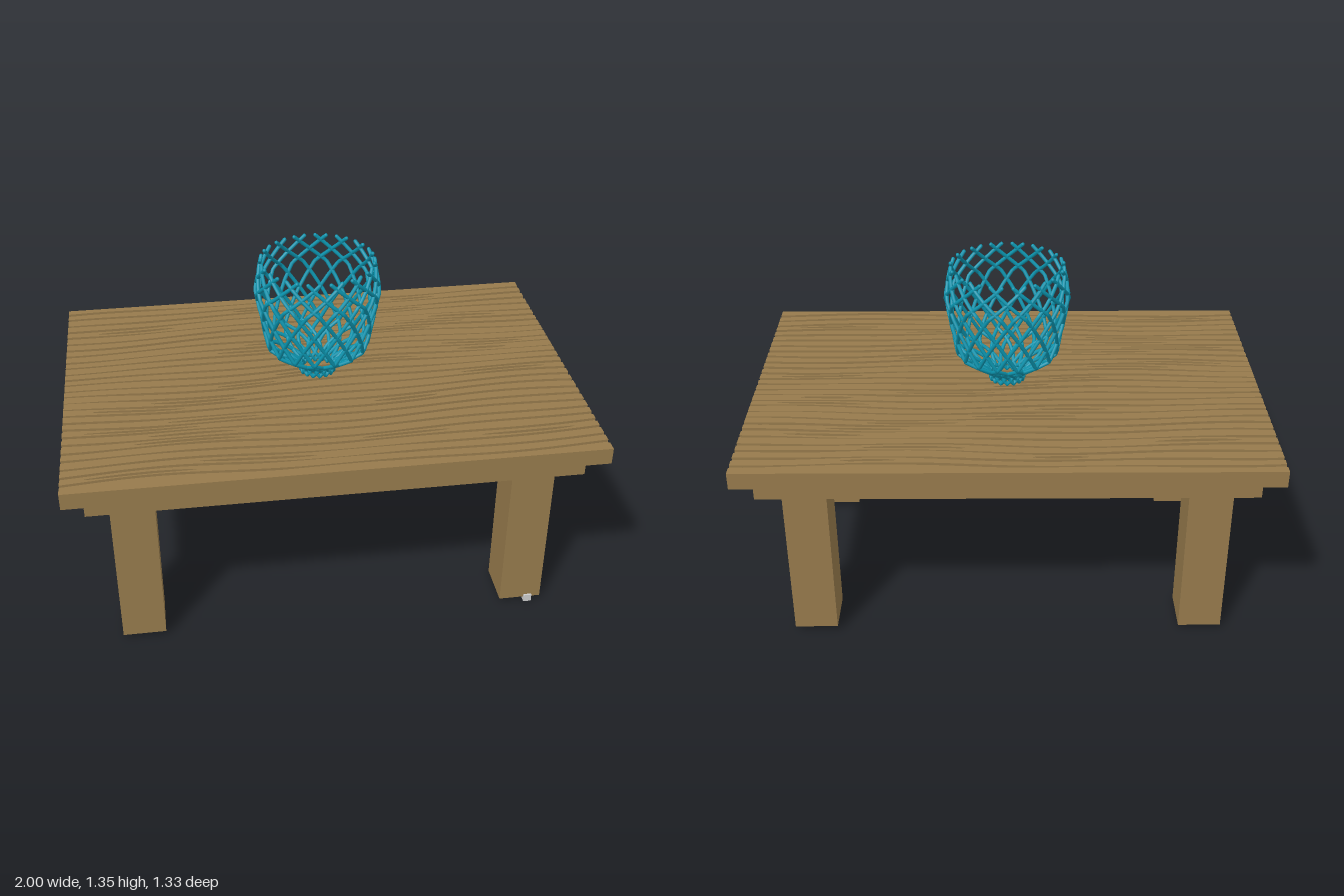
import * as THREE from 'three';
import { mergeGeometries } from 'three/addons/utils/BufferGeometryUtils.js';

const wood = new THREE.MeshStandardMaterial({ color: 0x967a4c });
const teal = new THREE.MeshStandardMaterial({ color: 0x0b93ad });
const grey = new THREE.MeshStandardMaterial({ color: 0xcccccc });

function box(name, material, size, position) {
  const mesh = new THREE.Mesh(new THREE.BoxGeometry(...size), material);
  mesh.position.set(...position);
  mesh.name = name;
  return mesh;
}

function seeded(seed) {
  return () => (seed = (seed * 16807) % 2147483647) / 2147483647;
}

// Raised wavy strips of wood grain with narrow grooves between them
function grainGeometry() {
  const rand = seeded(77);
  const count = 28, halfDepth = 0.665, pitch = (2 * halfDepth) / count, steps = 28;
  const clamp = (v) => THREE.MathUtils.clamp(v, -halfDepth, halfDepth);
  const warp = (x, z) => 0.012 * Math.sin(3.1 * x + 5 * z) + 0.007 * Math.sin(7 * x - 9 * z + 1);
  const shapes = [];
  for (let k = 0; k < count; k++) {
    const base = -halfDepth + (k + 0.5) * pitch;
    const half = pitch * (0.3 + 0.1 * rand()), phase = rand() * 6.28;
    const middle = (x) => base + warp(x, base);
    const width = (x) => half * (1 + 0.18 * Math.sin(5 * x + phase));
    const lower = [], upper = [];
    for (let i = 0; i <= steps; i++) {
      const x = -1 + (2 * i) / steps;
      const outerLow = k === 0 ? -halfDepth : middle(x) - width(x);
      const outerHigh = k === count - 1 ? halfDepth : middle(x) + width(x);
      lower.push(new THREE.Vector2(x, clamp(outerLow)));
      upper.unshift(new THREE.Vector2(x, clamp(outerHigh)));
    }
    const shape = new THREE.Shape([...lower, ...upper]);
    // Long lens-shaped hollows in the inner strips
    if (k > 0 && k < count - 1) {
      const centre = -0.75 + 1.5 * rand(), length = 0.1 + 0.12 * rand();
      const hollow = [];
      for (let i = 0; i < 14; i++) {
        const a = (i / 14) * Math.PI * 2;
        const x = centre + length * Math.cos(a);
        hollow.push(new THREE.Vector2(x, middle(x) + 0.45 * half * Math.sin(a)));
      }
      shape.holes.push(new THREE.Path(hollow));
    }
    shapes.push(shape);
  }
  const geometry = new THREE.ExtrudeGeometry(shapes, { depth: 0.012, bevelEnabled: false });
  return geometry.rotateX(-Math.PI / 2).translate(0, 0.823, 0);
}

// Crossing strands that wind up the profile in both directions
function latticeGeometry() {
  const strands = 16, pitch = (Math.PI * 2) / strands;
  // radius, height, winding in strand spacings
  const profile = [
    [0.066, 0.864, 0], [0.068, 0.895, 1], [0.196, 0.985, 2.5],
    [0.239, 1.222, 4.25], [0.217, 1.343, 5.75],
  ];
  const tubes = [];
  for (const direction of [1, -1]) {
    const points = [];
    for (let j = 0; j < profile.length - 1; j++) {
      for (let i = 0; i < 4; i++) {
        const [r, y, w] = profile[j].map((v, n) => THREE.MathUtils.lerp(v, profile[j + 1][n], i / 4));
        points.push([r, y, w]);
      }
    }
    points.push(profile[profile.length - 1]);
    const path = new THREE.CurvePath();
    const vectors = points.map(([r, y, w]) => {
      const a = direction * w * pitch;
      return new THREE.Vector3(r * Math.sin(a), y, r * Math.cos(a));
    });
    for (let i = 1; i < vectors.length; i++) path.add(new THREE.LineCurve3(vectors[i - 1], vectors[i]));
    const strand = new THREE.TubeGeometry(path, 48, 0.0075, 8);
    // Closed strand ends
    const caps = [vectors[0], vectors[vectors.length - 1]].map((p) =>
      new THREE.SphereGeometry(0.0075, 8, 6).translate(p.x, p.y, p.z));
    const whole = mergeGeometries([strand, ...caps]);
    for (let s = 0; s < strands; s++) tubes.push(whole.clone().rotateY(s * pitch));
  }
  return mergeGeometries(tubes);
}

export function createModel() {
  const model = new THREE.Group();
  model.name = 'tableWithBasket';

  const table = new THREE.Group();
  table.name = 'table';
  table.add(box('tableTop', wood, [2, 0.056, 1.33], [0, 0.797, 0]));
  table.add(box('apron', wood, [1.85, 0.082, 1.22], [0, 0.729, 0]));
  for (const x of [-1, 1]) {
    for (const z of [-1, 1]) {
      table.add(box('leg', wood, [0.167, 0.67, 0.175], [x * 0.76, 0.355, z * 0.436]));
    }
  }
  const grain = new THREE.Mesh(grainGeometry(), wood);
  grain.name = 'woodGrain';
  table.add(grain);
  model.add(table);

  const basket = new THREE.Mesh(latticeGeometry(), teal);
  basket.name = 'latticeBasket';
  model.add(basket);

  // Small loose cube under one leg
  model.add(box('smallCube', grey, [0.032, 0.032, 0.032], [0.792, 0.016, 0.515]));
  return model;
}
